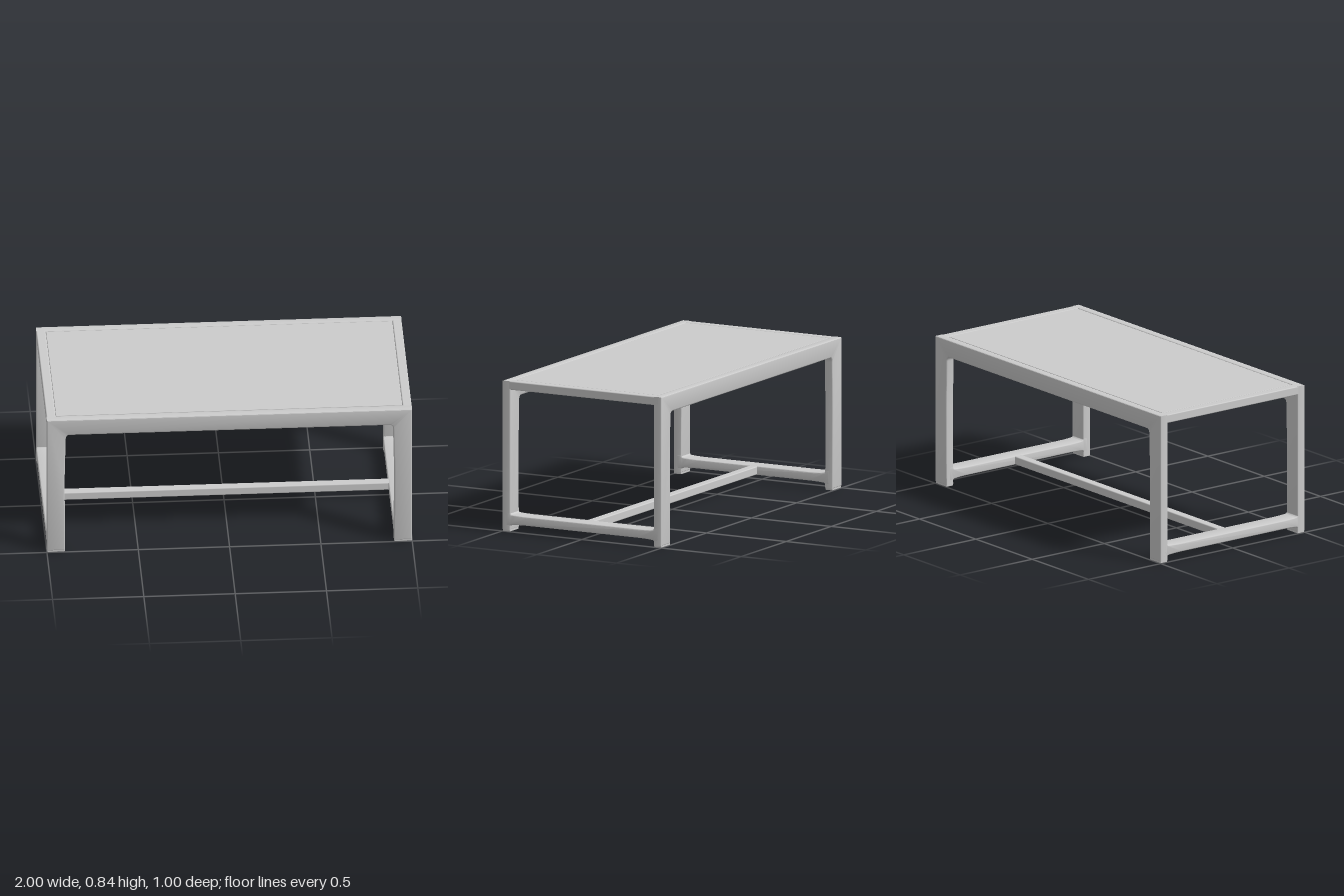
import * as THREE from 'three';
import { toCreasedNormals } from 'three/addons/utils/BufferGeometryUtils.js';
import { RoundedBoxGeometry } from 'three/addons/geometries/RoundedBoxGeometry.js';

const TOP = 0.838, ROUND = 0.006;

export function createModel() {
  const table = new THREE.Group();
  table.name = 'table';
  const material = new THREE.MeshStandardMaterial({ color: 0xcccccc });

  function add(name, geometry, x, y, z) {
    const mesh = new THREE.Mesh(geometry, material);
    mesh.name = name;
    mesh.position.set(x, y, z);
    table.add(mesh);
    return mesh;
  }

  // Softened box given by its size and centre
  function bar(name, w, h, d, x, y, z, r = ROUND) {
    return add(name, new RoundedBoxGeometry(w, h, d, 2, r), x, y, z);
  }

  // Profile extruded to a centred thickness with rounded edges
  function slab(shape, depth) {
    const geometry = new THREE.ExtrudeGeometry(shape, {
      depth: depth - 2 * ROUND, curveSegments: 6, bevelEnabled: true,
      bevelSize: ROUND, bevelThickness: ROUND, bevelOffset: -ROUND, bevelSegments: 3,
    });
    geometry.translate(0, 0, ROUND - depth / 2);
    return toCreasedNormals(geometry, 0.6);
  }

  // Long frames: two legs and the apron in one piece, with blended inner corners
  const portal = new THREE.Shape();
  portal.moveTo(-1, 0.01);
  portal.lineTo(-0.9, 0.01);
  portal.lineTo(-0.903, 0.45);
  portal.lineTo(-0.897, 0.715);
  portal.quadraticCurveTo(-0.896, 0.742, -0.875, 0.742);
  portal.lineTo(0.875, 0.742);
  portal.quadraticCurveTo(0.896, 0.742, 0.897, 0.715);
  portal.lineTo(0.903, 0.45);
  portal.lineTo(0.9, 0.01);
  portal.lineTo(1, 0.01);
  portal.lineTo(1, TOP);
  portal.lineTo(-1, TOP);
  portal.closePath();
  const portalGeometry = slab(portal, 0.05);

  // Side stretchers: flared where they meet the legs
  const stretcher = new THREE.Shape();
  stretcher.moveTo(-0.48, 0.03);
  stretcher.lineTo(-0.452, 0.03);
  stretcher.quadraticCurveTo(-0.448, 0.038, -0.44, 0.038);
  stretcher.quadraticCurveTo(-0.4, 0.042, -0.34, 0.042);
  stretcher.lineTo(0.34, 0.042);
  stretcher.quadraticCurveTo(0.4, 0.042, 0.44, 0.038);
  stretcher.quadraticCurveTo(0.448, 0.038, 0.452, 0.03);
  stretcher.lineTo(0.48, 0.03);
  stretcher.lineTo(0.48, 0.108);
  stretcher.lineTo(0.452, 0.108);
  stretcher.quadraticCurveTo(0.45, 0.096, 0.44, 0.095);
  stretcher.quadraticCurveTo(0.4, 0.091, 0.34, 0.091);
  stretcher.lineTo(-0.34, 0.091);
  stretcher.quadraticCurveTo(-0.4, 0.091, -0.44, 0.095);
  stretcher.quadraticCurveTo(-0.45, 0.096, -0.452, 0.108);
  stretcher.lineTo(-0.48, 0.108);
  stretcher.closePath();
  const stretcherGeometry = slab(stretcher, 0.1);
  stretcherGeometry.rotateY(Math.PI / 2);

  for (const s of [1, -1]) {
    add(s > 0 ? 'frontFrame' : 'backFrame', portalGeometry, 0, 0, s * 0.475);
    const side = s > 0 ? 'left' : 'right';
    add(side + 'Stretcher', stretcherGeometry, s * 0.95, 0, 0);
    bar(side + 'TopRail', 0.05, 0.048, 0.97, s * 0.975, TOP - 0.024, 0);
    // Foot pads, slightly inset under each leg
    for (const t of [1, -1]) {
      bar(side + (t > 0 ? 'Front' : 'Back') + 'Foot', 0.096, 0.02, 0.046,
        s * 0.95, 0.01, t * 0.475, 0.003);
    }
  }

  // Central stretcher joining the two side stretchers
  bar('centreStretcher', 1.82, 0.046, 0.05, 0, 0.067, 0);

  // Inset top panel with a fine shadow gap, carried on a thin backing sheet
  bar('topPanel', 1.894, 0.014, 0.894, 0, TOP - 0.008, 0, 0.002);
  add('panelBacking', new THREE.BoxGeometry(1.91, 0.008, 0.91), 0, TOP - 0.018, 0);

  return table;
}
